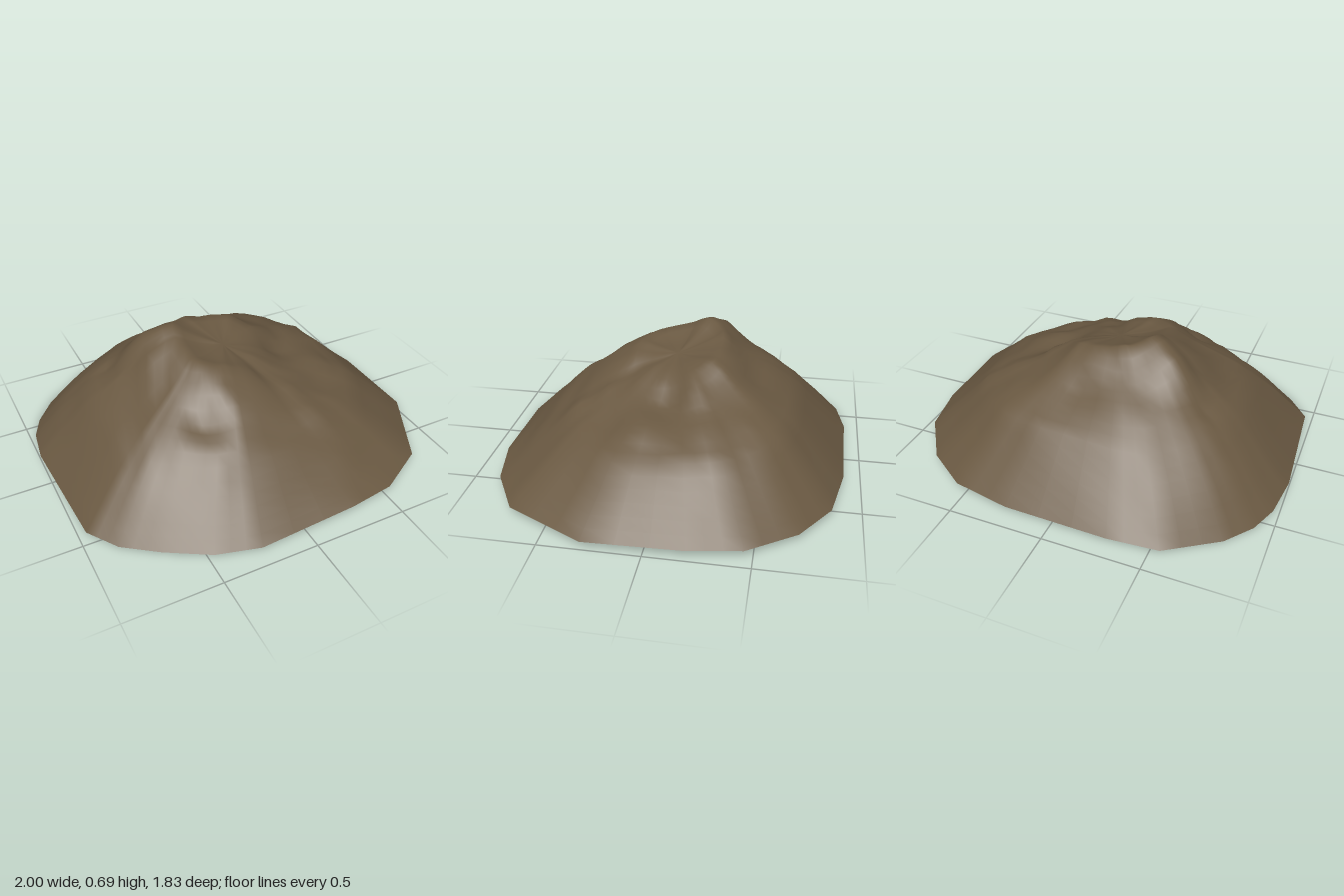
import * as THREE from 'three';

// Rim of the mound: x, z, height, going round from the back
const RIM = [
  [-0.30, -0.92, 0.04], [0.24, -0.91, 0.04], [0.55, -0.85, 0.04], [0.77, -0.70, 0.04],
  [0.94, -0.46, 0.045], [0.99, -0.20, 0.05], [1.00, 0.29, 0.045], [0.79, 0.70, 0.04],
  [0.53, 0.85, 0.035], [0.27, 0.90, 0.05], [-0.25, 0.91, 0.02], [-0.47, 0.84, 0.01],
  [-0.68, 0.71, 0.005], [-0.85, 0.58, 0], [-0.96, 0.43, 0.01], [-1.00, -0.20, 0.03],
  [-0.97, -0.41, 0.01], [-0.91, -0.55, 0], [-0.80, -0.69, 0], [-0.55, -0.88, 0.02],
];

// Slope heights every 30 degrees from +x towards +z, at these fractions of the radius
const KNOTS = [0, 0.25, 0.4, 0.55, 0.7, 0.85, 1];
const SUMMIT = 0.57;
const SLOPES = [
  [0.52, 0.43, 0.385, 0.31, 0.18], [0.50, 0.42, 0.36, 0.28, 0.16],
  [0.50, 0.43, 0.36, 0.26, 0.14], [0.55, 0.48, 0.39, 0.29, 0.16],
  [0.59, 0.53, 0.41, 0.29, 0.15], [0.60, 0.51, 0.40, 0.30, 0.16],
  [0.62, 0.56, 0.45, 0.36, 0.19], [0.67, 0.62, 0.46, 0.35, 0.19],
  [0.645, 0.53, 0.45, 0.33, 0.18], [0.62, 0.52, 0.43, 0.35, 0.20],
  [0.59, 0.50, 0.43, 0.35, 0.19], [0.56, 0.46, 0.41, 0.33, 0.18],
];

// Crags and hollows: x, z, radius, height
const CRAGS = [
  [-0.30, -0.13, 0.09, 0.03], [0.13, -0.25, 0.09, 0.025], [0.30, 0.00, 0.10, -0.05],
  [-0.30, 0.40, 0.09, -0.05], [-0.55, 0.10, 0.08, -0.04], [0.28, 0.50, 0.08, 0.035],
  [0.32, 0.72, 0.06, 0.025], [-0.38, 0.10, 0.05, -0.04], [0.45, 0.30, 0.08, -0.03],
  [0.05, -0.42, 0.06, -0.025], [-0.55, -0.30, 0.06, -0.03],
];

// Seeded lattice noise in -1..1
function hash(i, j) {
  const s = Math.sin(i * 127.1 + j * 311.7 + 4.2) * 43758.5453;
  return (s - Math.floor(s)) * 2 - 1;
}
function noise(x, z) {
  const i = Math.floor(x), j = Math.floor(z), u = x - i, v = z - j;
  const a = THREE.MathUtils.lerp(hash(i, j), hash(i + 1, j), u);
  const b = THREE.MathUtils.lerp(hash(i, j + 1), hash(i + 1, j + 1), u);
  return THREE.MathUtils.lerp(a, b, v);
}

function slopeHeight(angle, t, rimY) {
  const turn = ((angle / (Math.PI * 2)) * 12 + 12) % 12;
  const i = Math.floor(turn), f = THREE.MathUtils.smoothstep(turn - i, 0, 1);
  const row = SLOPES[i % 12].map((h, n) => THREE.MathUtils.lerp(h, SLOPES[(i + 1) % 12][n], f));
  const heights = [SUMMIT, ...row, rimY];
  let k = 0;
  while (k < KNOTS.length - 2 && t > KNOTS[k + 1]) k++;
  return THREE.MathUtils.mapLinear(t, KNOTS[k], KNOTS[k + 1], heights[k], heights[k + 1]);
}

function surfaceHeight(x, z, t, rimY) {
  let y = slopeHeight(Math.atan2(z, x), t, rimY);
  const fade = 1 - THREE.MathUtils.smoothstep(t, 0.6, 0.95);
  // The back slope is smoother than the front
  const rough = z < -0.4 ? 0.008 : 0.02;
  y += noise(x * 9, z * 9) * rough * fade * Math.min(1, t * 4);
  for (const [cx, cz, r, h] of CRAGS) {
    y += h * Math.exp(-((x - cx) ** 2 + (z - cz) ** 2) / (r * r)) * (t < 1 ? 1 : 0);
  }
  return y;
}

// Open shell made of rings that shrink from the rim to the summit
function moundGeometry() {
  const split = 3, rings = 20, spokes = RIM.length * split;
  const positions = [0, SUMMIT, 0], index = [];
  for (let r = 1; r <= rings; r++) {
    const t = r / rings;
    for (let s = 0; s < spokes; s++) {
      const a = RIM[Math.floor(s / split)];
      const b = RIM[(Math.floor(s / split) + 1) % RIM.length];
      const [rx, rz, ry] = a.map((v, n) => THREE.MathUtils.lerp(v, b[n], (s % split) / split));
      positions.push(rx * t, surfaceHeight(rx * t, rz * t, t, ry), rz * t);
    }
  }
  const at = (r, s) => 1 + (r - 1) * spokes + (s % spokes);
  for (let s = 0; s < spokes; s++) {
    index.push(0, at(1, s + 1), at(1, s));
    for (let r = 1; r < rings; r++) {
      index.push(at(r, s), at(r, s + 1), at(r + 1, s));
      index.push(at(r, s + 1), at(r + 1, s + 1), at(r + 1, s));
    }
  }
  const geometry = new THREE.BufferGeometry();
  geometry.setAttribute('position', new THREE.Float32BufferAttribute(positions, 3));
  geometry.setIndex(index);
  geometry.computeVertexNormals();
  return geometry;
}

export function createModel() {
  const group = new THREE.Group();
  group.name = 'rockMound';
  const earth = new THREE.MeshStandardMaterial({ color: 0x6a5942, side: THREE.DoubleSide });
  earth.name = 'earth brown';
  const mound = new THREE.Mesh(moundGeometry(), earth);
  mound.name = 'moundShell';
  group.add(mound);
  return group;
}
